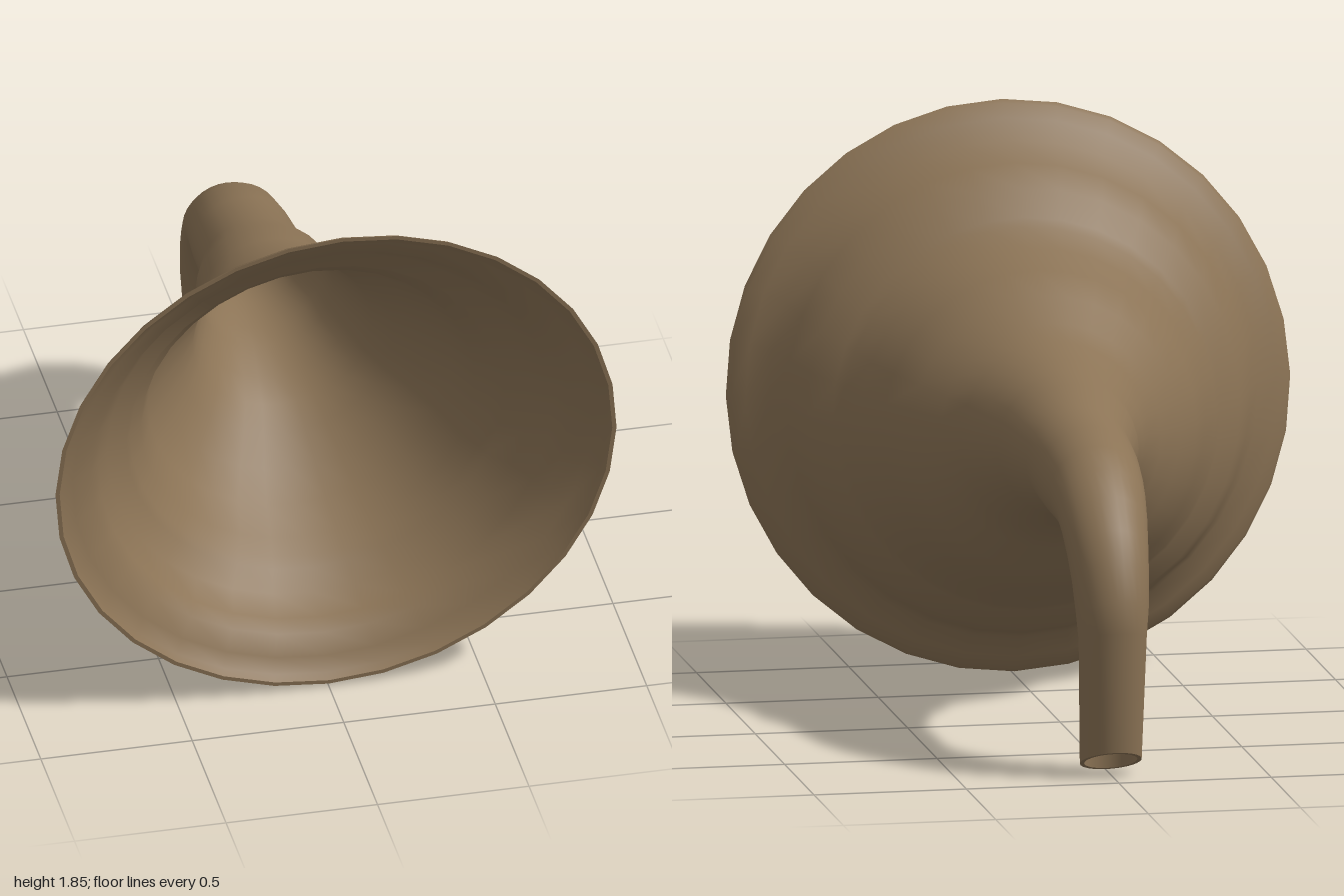
import * as THREE from 'three';

const SIDES = 32;
const WALL = 0.014;

// Each ring: top z, top y, bottom z, bottom y, optional half width
const RINGS = [
  // flared lip and stepped bell
  [0.99, 1.86, 0.78, 0.02],
  [0.97, 1.85, 0.755, 0.035],
  [0.93, 1.81, 0.725, 0.08],
  [0.885, 1.745, 0.695, 0.15],
  [0.79, 1.69, 0.64, 0.175],
  [0.7, 1.625, 0.545, 0.21],
  [0.64, 1.54, 0.5, 0.275],
  [0.6, 1.515, 0.455, 0.295],
  [0.535, 1.46, 0.405, 0.335],
  [0.4, 1.415, 0.29, 0.39],
  [0.3, 1.35, 0.2, 0.47],
  [0.2, 1.28, 0.12, 0.555],
  [0.12, 1.235, 0.05, 0.62],
  // throat
  [0, 1.2, -0.05, 0.665],
  [-0.1, 1.17, -0.15, 0.715],
  [-0.2, 1.16, -0.24, 0.73],
  [-0.32, 1.11, -0.34, 0.76],
  [-0.5, 1.08, -0.5, 0.745],
  [-0.64, 1.045, -0.6, 0.737],
  // bend and pipe
  [-0.73, 0.99, -0.67, 0.73, 0.147],
  [-0.82, 0.915, -0.7, 0.7, 0.14],
  [-0.9, 0.82, -0.725, 0.655, 0.132],
  [-0.96, 0.72, -0.755, 0.595, 0.125],
  [-0.993, 0.6, -0.785, 0.51, 0.118],
  [-1, 0.5, -0.792, 0.43, 0.11],
  [-0.955, 0.1, -0.77, 0.01, 0.1],
];

// Closed elliptical ring, shrunk by an inset
function ring([tz, ty, bz, by, width], inset) {
  const r = Math.hypot(tz - bz, ty - by) / 2;
  const k = (r - inset) / r;
  const w = (width ?? r) - inset;
  const points = [];
  for (let j = 0; j < SIDES; j++) {
    const a = (j / SIDES) * Math.PI * 2;
    const c = (Math.cos(a) * k) / 2;
    points.push([Math.sin(a) * w, (ty + by) / 2 + (ty - by) * c, (tz + bz) / 2 + (tz - bz) * c]);
  }
  return points;
}

// Smooth skin over a list of rings
function skin(rings) {
  const index = [];
  for (let i = 0; i < rings.length - 1; i++) {
    for (let j = 0; j < SIDES; j++) {
      const n = (j + 1) % SIDES;
      const a = i * SIDES + j, b = i * SIDES + n;
      const c = a + SIDES, d = b + SIDES;
      index.push(a, b, c, b, d, c);
    }
  }
  const geometry = new THREE.BufferGeometry();
  geometry.setAttribute('position', new THREE.Float32BufferAttribute(rings.flat(2), 3));
  geometry.setIndex(index);
  geometry.computeVertexNormals();
  return geometry;
}

export function createModel() {
  const horn = new THREE.Group();
  horn.name = 'horn';
  const brown = new THREE.MeshStandardMaterial({ color: 0x8b7355 });
  brown.name = 'warm brown';

  const outer = RINGS.map((r) => ring(r, 0));
  const inner = RINGS.map((r) => ring(r, WALL));
  const last = RINGS.length - 1;

  const add = (name, rings) => {
    const mesh = new THREE.Mesh(skin(rings), brown);
    mesh.name = name;
    horn.add(mesh);
  };
  add('outerWall', outer);
  add('innerWall', [...inner].reverse());
  add('bellRim', [inner[0], outer[0]]);
  add('pipeEnd', [outer[last], inner[last]]);
  return horn;
}
